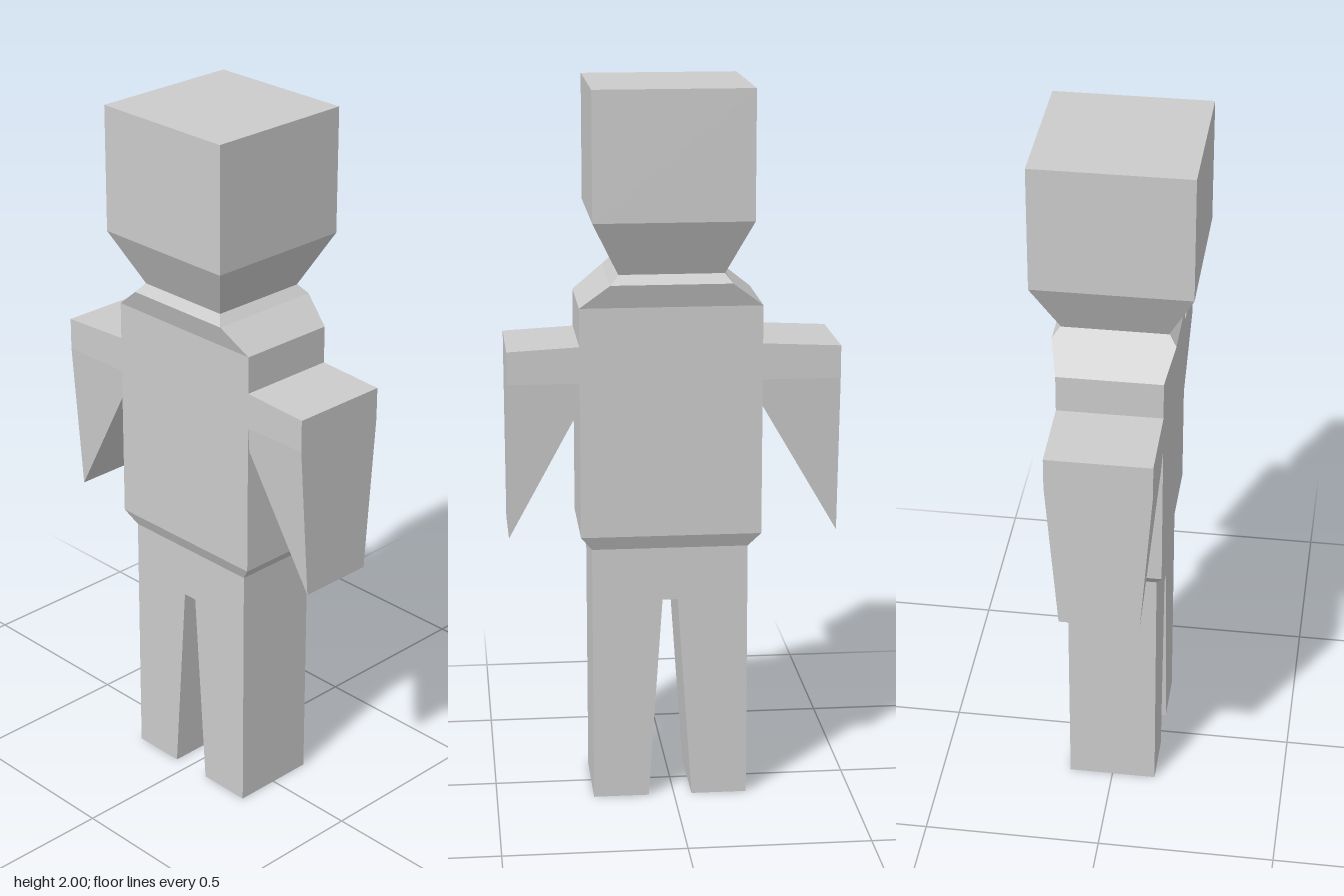
import * as THREE from 'three';

const material = new THREE.MeshStandardMaterial({ color: 0xcccccc, flatShading: true });

// Stacks rectangular sections [y, halfWidthX, zMin, zMax], bottom to top, into a closed solid
function loft(name, sections) {
  const rings = sections.map(([y, hx, z0, z1]) => [
    [-hx, y, z1], [hx, y, z1], [hx, y, z0], [-hx, y, z0],
  ]);
  const pos = [];
  const quad = (a, b, c, d) => pos.push(...a, ...b, ...c, ...a, ...c, ...d);
  for (let i = 0; i < rings.length - 1; i++) {
    const lo = rings[i], hi = rings[i + 1];
    for (let k = 0; k < 4; k++) {
      const n = (k + 1) % 4;
      quad(lo[k], lo[n], hi[n], hi[k]);
    }
  }
  const top = rings[rings.length - 1], bottom = rings[0];
  quad(top[0], top[1], top[2], top[3]);
  // a bottom section of zero depth is a sharp edge and needs no cap
  if (sections[0][2] !== sections[0][3]) quad(bottom[3], bottom[2], bottom[1], bottom[0]);
  const geo = new THREE.BufferGeometry();
  geo.setAttribute('position', new THREE.Float32BufferAttribute(pos, 3));
  geo.computeVertexNormals();
  const mesh = new THREE.Mesh(geo, material);
  mesh.name = name;
  return mesh;
}

export function createModel() {
  const model = new THREE.Group();
  model.name = 'blockFigure';

  // Head with a tapered jaw
  model.add(loft('head', [
    [1.5, 0.143, -0.135, 0.152], [1.65, 0.215, -0.207, 0.225], [2, 0.215, -0.207, 0.225],
  ]));

  // Torso with bevelled waist and flared shoulders
  model.add(loft('torso', [
    [0.73, 0.125, -0.205, 0.227], [0.77, 0.143, -0.24, 0.258], [1.41, 0.143, -0.24, 0.258],
    [1.475, 0.165, -0.155, 0.175], [1.5, 0.145, -0.135, 0.152],
  ]));

  // Hips and legs
  model.add(loft('hips', [[0.58, 0.125, -0.205, 0.227], [0.73, 0.125, -0.205, 0.227]]));
  model.add(loft('frontLeg', [[0, 0.125, 0.072, 0.227], [0.58, 0.125, 0.032, 0.227]]));
  model.add(loft('backLeg', [[0, 0.125, -0.205, -0.05], [0.58, 0.125, -0.205, -0.01]]));

  // Arms: a shoulder block above a wedge that narrows to an edge
  for (const [side, s, inner] of [['front', 1, 0.22], ['back', -1, 0.197]]) {
    const arm = new THREE.Group();
    arm.name = side + 'Arm';
    const span = (a, b) => [Math.min(a * s, b * s), Math.max(a * s, b * s)];
    const block = loft('shoulderBlock', [
      [1.205, 0.143, ...span(inner, 0.454)], [1.295, 0.143, ...span(inner, 0.454)],
    ]);
    // raise the top slightly towards the torso
    const p = block.geometry.attributes.position;
    for (let i = 0; i < p.count; i++) {
      if (p.getY(i) > 1.25 && Math.abs(p.getZ(i)) < 0.3) p.setY(i, 1.307);
    }
    block.geometry.computeVertexNormals();
    arm.add(block);
    arm.add(loft('forearmWedge', [
      [0.765, 0.11, ...span(0.454, 0.454)], [1.205, 0.143, ...span(inner, 0.454)],
    ]));
    model.add(arm);
  }
  return model;
}
